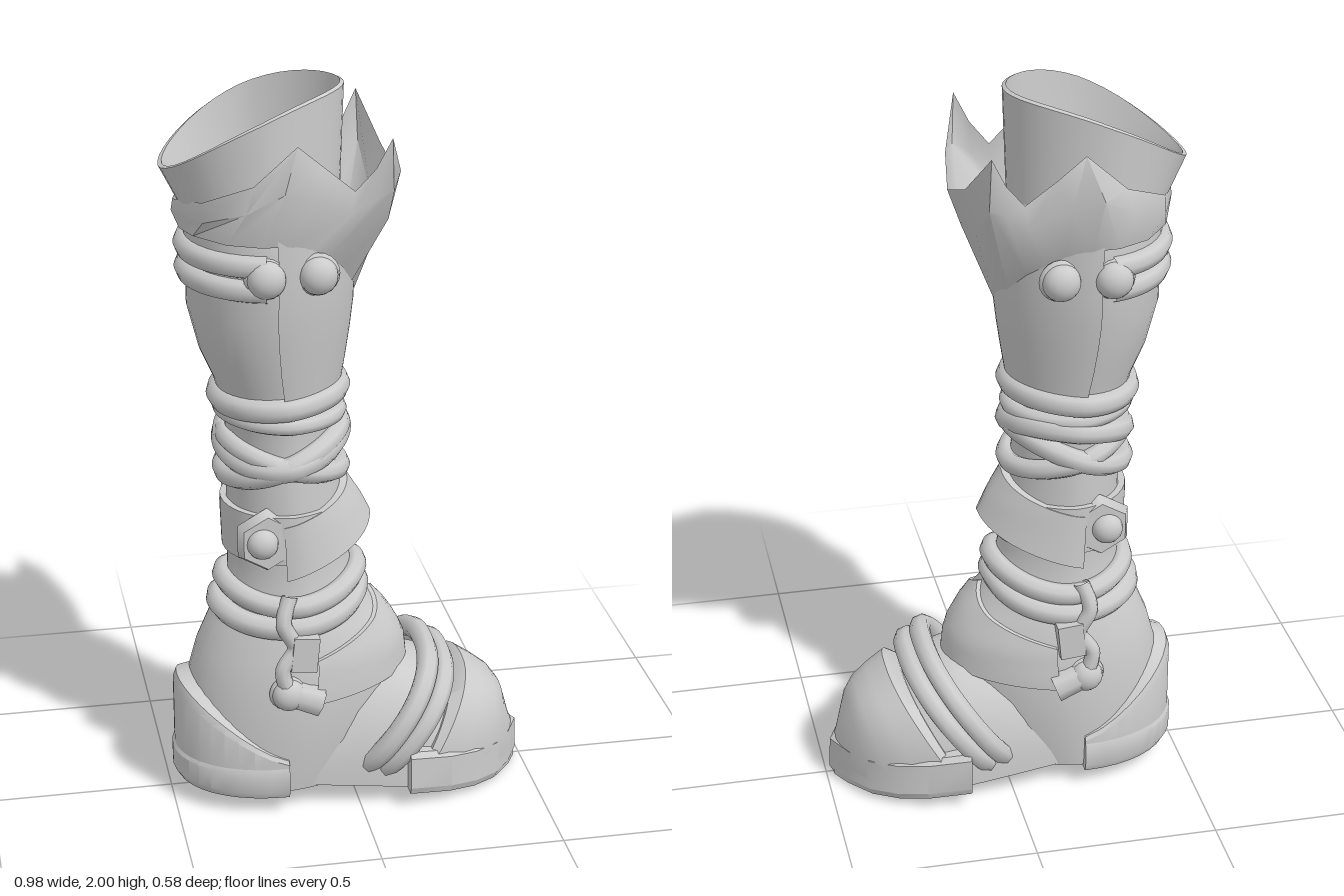
import * as THREE from 'three';
import { toCreasedNormals } from 'three/addons/utils/BufferGeometryUtils.js';

const V = (x, y, z) => new THREE.Vector3(x, y, z);
const mat = new THREE.MeshStandardMaterial({ color: 0xcccccc, side: THREE.DoubleSide });
const range = (n, f) => Array.from({ length: n }, (_, i) => f(i));
const sgnPow = (v, p) => Math.sign(v) * Math.abs(v) ** p;

// Skin over a list of rings; optional flat caps
function loft(rings, { closed = true, capStart = false, capEnd = false, crease = 0.7 } = {}) {
  const n = rings[0].length, pts = rings.flat(), idx = [];
  for (let i = 0; i < rings.length - 1; i++)
    for (let j = 0; j < (closed ? n : n - 1); j++) {
      const a = i * n + j, b = i * n + (j + 1) % n;
      idx.push(a, b, b + n, a, b + n, a + n);
    }
  const cap = (ring, start, flip) => {
    const c = pts.length;
    pts.push(ring.reduce((s, p) => s.add(p), V(0, 0, 0)).divideScalar(n));
    for (let j = 0; j < n; j++) {
      const a = start + j, b = start + (j + 1) % n;
      flip ? idx.push(b, a, c) : idx.push(a, b, c);
    }
  };
  if (capStart) cap(rings[0], 0, true);
  if (capEnd) cap(rings[rings.length - 1], (rings.length - 1) * n, false);
  const g = new THREE.BufferGeometry().setFromPoints(pts);
  g.setIndex(idx);
  return toCreasedNormals(g, crease);
}

// Leg profile: height, back x, front x, half width
const LEG = [
  [0.06, -0.46, 0.08, 0.2], [0.2, -0.46, 0.14, 0.215], [0.35, -0.445, 0.155, 0.215], [0.44, -0.42, 0.145, 0.205],
  [0.52, -0.385, 0.1, 0.185], [0.6, -0.335, 0.025, 0.165], [0.7, -0.325, 0, 0.16], [0.85, -0.33, -0.01, 0.165],
  [1.0, -0.32, -0.04, 0.16], [1.1, -0.325, -0.035, 0.16], [1.22, -0.36, -0.025, 0.18], [1.3, -0.395, -0.01, 0.198],
  [1.42, -0.425, 0.005, 0.22], [1.55, -0.425, 0.01, 0.232], [1.66, -0.43, 0.01, 0.232], [1.72, -0.43, -0.02, 0.205],
];
// Point on an egg-shaped ring; angle 0 faces the toe
const egg = (y, x0, x1, hz, a) =>
  V((x0 + x1) / 2 + (x1 - x0) / 2 * Math.cos(a), y, -hz * Math.sin(a) * (1 - 0.14 * Math.max(0, Math.cos(a))));
function legPoint(y, a, off = 0) {
  let i = 0;
  while (i < LEG.length - 2 && LEG[i + 1][0] < y) i++;
  const t = (y - LEG[i][0]) / (LEG[i + 1][0] - LEG[i][0]);
  const [, x0, x1, hz] = LEG[i].map((v, k) => v + (LEG[i + 1][k] - v) * t);
  return egg(y, x0 - off, x1 + off, hz + off, a);
}

export function createModel() {
  const boot = new THREE.Group();
  boot.name = 'boot';
  const add = (name, geo, parent = boot) => {
    const m = new THREE.Mesh(geo, mat);
    m.name = name;
    parent.add(m);
    return m;
  };
  const SEG = 40, angles = range(SEG, j => j / SEG * Math.PI * 2);

  // Leg and ankle
  add('leg', loft(LEG.map(s => angles.map(a => egg(...s, a))), { capStart: true }));

  // Inner sleeve with a slanted, arched rim, then a funnel down inside
  const SLEEVE = [
    [1.64, 0.0, -0.425, -0.02, 0.2], [1.72, 0.02, -0.44, -0.02, 0.198], [1.9, 0.1, -0.49, -0.01, 0.2],
    [1.905, 0.1, -0.48, -0.02, 0.192], [1.72, 0.03, -0.42, -0.045, 0.178], [1.52, 0, -0.375, -0.08, 0.145],
    [1.15, 0, -0.33, -0.14, 0.09], [0.4, 0, -0.33, -0.14, 0.09],
  ];
  add('sleeve', loft(SLEEVE.map(([y, tilt, ...s]) => angles.map(a =>
    egg(y + tilt * (Math.cos(a) + 0.45 * Math.sin(a) ** 2), ...s, a))), { capEnd: true }));

  // Pointed cuff, listed from the front centre round to the back; its lower edge hugs the leg
  const mirrorRing = half => [
    ...half.map(p => V(p[0], p[1], -p[2])),
    ...half.slice(1, -1).reverse().map(p => V(...p)),
  ];
  const cuffTop = [[0.135, 1.74, 0], [0.115, 1.79, 0.13], [0.07, 1.91, 0.245], [0.03, 1.83, 0.235], [-0.02, 1.77, 0.22],
    [-0.1, 1.84, 0.24], [-0.17, 1.9, 0.245], [-0.28, 1.8, 0.235], [-0.4, 1.74, 0.15], [-0.455, 1.71, 0]];
  const cuffMid = [[0.1, 1.64, 0], [0.085, 1.66, 0.12], [0.075, 1.77, 0.24], [0.03, 1.75, 0.235], [-0.03, 1.71, 0.225],
    [-0.13, 1.76, 0.265], [-0.21, 1.79, 0.288], [-0.3, 1.73, 0.24], [-0.4, 1.69, 0.16], [-0.46, 1.68, 0]];
  const cuffLow = [[0, 1.43], [0.45, 1.49], [0.75, 1.55], [1, 1.59], [1.2, 1.62], [1.5, 1.64], [1.8, 1.64], [2.2, 1.64],
    [2.7, 1.64], [Math.PI, 1.63]].map(([a, y]) => legPoint(y, -a, 0.011).toArray());
  add('cuff', loft([cuffLow, cuffMid, cuffTop].map(mirrorRing), { crease: 0.9 }));

  // Raised plates that follow the leg; edges and thickness vary with the angle
  function plate(name, aMax, low, high, offLow, offHigh) {
    const as = range(33, j => (j / 32 * 2 - 1) * aMax);
    const row = (t, k) => as.map(a => {
      const u = Math.abs(a), y = low(u) + (high(u) - low(u)) * t;
      return legPoint(y, a, k * (offLow(u) + (offHigh - offLow(u)) * t));
    });
    add(name, loft([row(0, 0), ...range(7, i => row(i / 6, 1)), row(1, 0)], { closed: false }));
  }
  plate('shinPlate', 1.62, () => 1.2, () => 1.66, () => 0.008, 0.01);
  plate('ankleStrap', Math.PI, () => 0.73, () => 0.87, () => 0.018, 0.018);
  plate('anklePlate', 1.75, u => 0.8 - 0.065 * u, u => 0.92 - 0.045 * u, u => 0.07 - 0.025 * u, 0.02);
  plate('instepPlate', 1.5, u => 0.36 - 0.02 * u, u => 0.575 - 0.08 * u, () => 0.012, 0.012);

  // Ropes wound round the leg
  const tube = (pts, r, closed) =>
    new THREE.TubeGeometry(new THREE.CatmullRomCurve3(pts, closed), closed ? 64 : 32, r, 8, closed);
  const rope = (name, r, y, off = 0.006) => add(name, tube(angles.map(a => legPoint(y(a), a, off)), r, true));
  rope('upperRope', 0.034, a => 1.175 + 0.01 * Math.cos(a), 0);
  rope('upperThinRope', 0.024, a => 1.125 - 0.01 * Math.cos(a));
  rope('crossRopeA', 0.033, a => 1.05 + 0.045 * Math.sin(a) + 0.02 * Math.cos(a), 0.012);
  rope('crossRopeB', 0.03, a => 1.01 + 0.06 * Math.cos(a), 0.012);
  rope('crossRopeC', 0.028, a => 1.0 - 0.05 * Math.cos(a), 0.008);
  rope('ankleRopeUpper', 0.03, a => 0.625 + 0.02 * Math.cos(2 * a) + 0.01 * Math.cos(a), 0.01);
  rope('ankleRopeLower', 0.032, a => 0.565 + 0.018 * Math.cos(2 * a) + 0.02 * Math.cos(a), 0);
  for (const y of [1.52, 1.585])
    add('calfRope', tube(range(24, i => legPoint(y, 1.75 + i / 23 * (2 * Math.PI - 3.5), -0.003)), 0.032, false));

  // Vamp and toe cap: domed sections along the foot, leaning forward by a shear
  const dome = ([x, bot, top, hz, shear = 0]) => range(25, j => {
    const t = j / 24 * Math.PI, s = sgnPow(Math.sin(t), 0.88);
    return V(x + shear * s, bot + (top - bot) * s, -hz * sgnPow(Math.cos(t), 0.8));
  });
  const domes = (name, list) => add(name, loft(list.map(dome), { capStart: true, capEnd: true, crease: 0.6 }));
  domes('vamp', [[-0.25, 0.07, 0.26, 0.17], [0, 0.06, 0.38, 0.21], [0.12, 0.05, 0.385, 0.22],
    [0.22, 0.045, 0.35, 0.22], [0.3, 0.04, 0.28, 0.19]]);
  domes('toeCap', [[0.13, 0.045, 0.31, 0.24, 0.15], [0.145, 0.045, 0.335, 0.25, 0.18], [0.24, 0.035, 0.305, 0.228, 0.13],
    [0.33, 0.025, 0.275, 0.192, 0.08], [0.4, 0.015, 0.24, 0.145, 0.035], [0.45, 0.01, 0.15, 0.08, 0.01], [0.48, 0.005, 0.1, 0.02]]);

  // Pointed sole under the toe
  const solePts = [[0.49, 0], [0.45, 0.085], [0.4, 0.155], [0.33, 0.207], [0.25, 0.24], [0.13, 0.263], [0.13, 0]];
  const soleRing = (h, k) => mirrorRing(solePts.map(([x, z]) => [x * k + 0.13 * (1 - k), 0.05 - 0.125 * (x - 0.1) + h, z * k]));
  add('toeSole', loft([soleRing(0, 0.97), soleRing(0.02, 1), soleRing(0.11, 0.99), soleRing(0.125, 0.94)],
    { capStart: true, capEnd: true, crease: 0.4 }));

  // Ropes across the foot
  [[0.1, 0.225, 0.115, 0.165], [0.145, 0.2, 0.115, 0.155]].forEach(([cx, cy, ux, uy]) =>
    add('footRope', tube(angles.map(a => {
      const c = sgnPow(Math.cos(a), 0.92);
      return V(cx + ux * c, cy + uy * c, 0.228 * sgnPow(Math.sin(a), 0.82));
    }), 0.03, true)));

  // Heel block, and a counter that rises at the back and closes in on the ankle
  const heelRing = (k, y, rise = 0) => angles.map(a => {
    const c = Math.cos(a), back = Math.max(0, -c);
    return V(-0.2 - 0.293 * k * sgnPow(back, 0.95), y + rise * back ** 1.2, -0.225 * k * sgnPow(Math.sin(a), 0.95));
  });
  add('heelBlock', loft([heelRing(0.96, 0.05), heelRing(1, 0.07), heelRing(1, 0.13), heelRing(0.97, 0.145)],
    { capStart: true, capEnd: true, crease: 0.5 }));
  add('heelCounter', loft([heelRing(0.98, 0.13), heelRing(0.98, 0.15, 0.175), heelRing(0.95, 0.16, 0.19), heelRing(0.75, 0.17, 0.2)],
    { crease: 0.5 }));

  // Studs and hanging toggles on both sides
  for (const side of [1, -1]) {
    const stud = (name, x, y, z, r) => {
      const g = new THREE.Group();
      g.name = name;
      g.position.set(x, y, z * side);
      add('studDome', new THREE.SphereGeometry(r, 16, 12), g).scale.z = 0.8;
      add('studRim', new THREE.TorusGeometry(r * 0.85, r * 0.3, 8, 20), g).position.z = -0.012 * side;
      boot.add(g);
    };
    stud('calfStud', -0.25, 1.555, 0.235, 0.05);
    stud('shinStud', -0.115, 1.555, 0.225, 0.05);
    stud('ankleStud', -0.26, 0.8, 0.178, 0.042);
    const base = add('studPlate', new THREE.CylinderGeometry(0.075, 0.09, 0.03, 6));
    base.position.set(-0.245, 0.8, 0.163 * side);
    base.rotation.x = side * Math.PI / 2;

    add('toggleCord', tube([[-0.19, 0.64, 0.18], [-0.21, 0.57, 0.205], [-0.18, 0.5, 0.205], [-0.215, 0.44, 0.215], [-0.2, 0.37, 0.22]]
      .map(([x, y, z]) => V(x, y, z * side)), 0.022, false));
    const bead = add('toggleBead', new THREE.BoxGeometry(0.07, 0.1, 0.06));
    bead.position.set(-0.155, 0.485, 0.2 * side);
    bead.rotation.z = -0.1;
    const tip = add('toggleEnd', new THREE.CylinderGeometry(0.04, 0.045, 0.09, 8));
    tip.position.set(-0.155, 0.35, 0.205 * side);
    tip.rotation.z = 1.2;
    stud('toggleKnob', -0.2, 0.365, 0.215, 0.045);
  }
  return boot;
}
